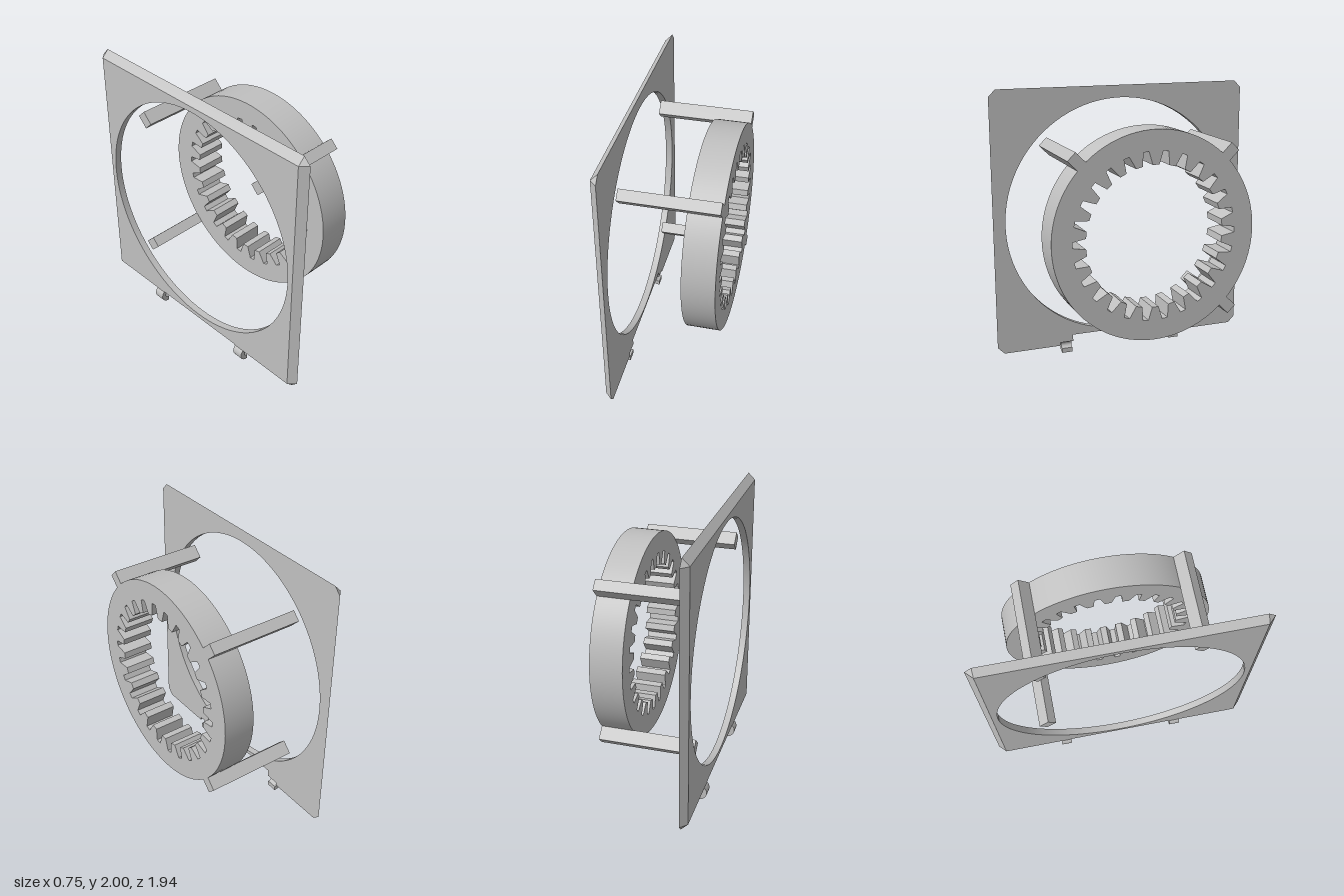
import * as THREE from 'three';
import { toCreasedNormals } from 'three/addons/utils/BufferGeometryUtils.js';

const CY = 1.03; // height of the ring axis
const FRONT = -0.31, BACK = -0.36; // plate faces along the axis

export function createModel() {
  const model = new THREE.Group();
  model.name = 'ringGearMount';
  const grey = new THREE.MeshStandardMaterial({ color: 0xc0c0c0 });
  grey.name = 'plainGrey';

  // Everything on the ring axis is drawn in a plane, then turned so local z becomes +x
  const axial = new THREE.Group();
  axial.name = 'axialParts';
  axial.rotation.y = Math.PI / 2;
  model.add(axial);

  const add = (parent, name, geometry) => {
    const mesh = new THREE.Mesh(geometry, grey);
    mesh.name = name;
    parent.add(mesh);
    return mesh;
  };

  // Wall between two matching closed loops, facing right of the direction of travel
  const wall = (front, back) => {
    const pos = [];
    front.forEach((f, i) => {
      const j = (i + 1) % front.length;
      const a = [back[i].x, back[i].y, BACK], b = [back[j].x, back[j].y, BACK];
      const c = [front[j].x, front[j].y, FRONT], d = [f.x, f.y, FRONT];
      pos.push(...a, ...b, ...c, ...a, ...c, ...d);
    });
    const g = new THREE.BufferGeometry();
    g.setAttribute('position', new THREE.Float32BufferAttribute(pos, 3));
    return toCreasedNormals(g, 0.3);
  };

  // Flat plate face with the round opening
  const circle = new THREE.Path().absarc(0, CY, 0.88, 0, Math.PI * 2, true);
  const face = (points, z, flip) => {
    const shape = new THREE.Shape(points);
    shape.holes.push(circle);
    const g = new THREE.ShapeGeometry(shape, 48);
    if (flip) {
      g.index.array.reverse();
      g.computeVertexNormals();
    }
    return g.translate(0, 0, z);
  };

  // Bevelled plate: clipped corners in front, a smaller square behind, stepped bottom notch
  const half = [
    [0.39, 0.135], [0.39, 0.085], [0.49, 0.085], [0.49, 0.06],
    [0.92, 0.06], [0.97, 0.11], [0.97, 1.95], [0.92, 2],
  ];
  const outline = [
    ...half.map(([x, y]) => new THREE.Vector2(x, y)),
    ...half.slice().reverse().map(([x, y]) => new THREE.Vector2(-x, y)),
  ];
  const backOutline = outline.map((p) => new THREE.Vector2(
    THREE.MathUtils.clamp(p.x, -0.92, 0.92),
    p.y === 0.135 ? 0.115 : THREE.MathUtils.clamp(p.y, 0.11, 1.95),
  ));
  const plate = new THREE.Group();
  plate.name = 'mountingPlate';
  axial.add(plate);
  add(plate, 'plateFront', face(outline, FRONT, false));
  add(plate, 'plateBack', face(backOutline, BACK, true));
  add(plate, 'plateBevel', wall(outline, backOutline));
  const rim = circle.getPoints(48).slice(0, -1);
  add(plate, 'plateOpening', wall(rim, rim));

  // Internal ring gear with 26 tapered gaps
  const gear = new THREE.Shape().absarc(0, 0, 0.74, 0, Math.PI * 2, false);
  const teeth = [];
  const gaps = 26;
  for (let i = 0; i < gaps; i++) {
    const a = (i / gaps) * Math.PI * 2;
    for (const [r, w] of [[0.5, -0.037], [0.595, -0.02], [0.595, 0.02], [0.5, 0.037]]) {
      teeth.push(new THREE.Vector2(
        r * Math.cos(a) - w * Math.sin(a),
        r * Math.sin(a) + w * Math.cos(a),
      ));
    }
  }
  gear.holes.push(new THREE.Path(teeth));
  const gearGeometry = new THREE.ExtrudeGeometry(gear, {
    depth: 0.23, bevelEnabled: false, curveSegments: 48,
  });
  add(axial, 'ringGear', toCreasedNormals(gearGeometry, 0.15)).position.set(0, CY, 0.14);

  // Three posts along the outside of the ring
  for (const degrees of [45, 135, -45]) {
    const a = THREE.MathUtils.degToRad(degrees);
    const post = add(axial, 'post', new THREE.BoxGeometry(0.1, 0.08, 0.68));
    post.position.set(0.786 * Math.cos(a), CY + 0.786 * Math.sin(a), 0.03);
    post.rotation.z = a;
  }

  // Two C-shaped hooks under the plate
  const hook = new THREE.Shape();
  hook.moveTo(-0.31, 0.12);
  hook.lineTo(-0.315, 0.12);
  hook.absarc(-0.315, 0.06, 0.06, Math.PI / 2, Math.PI * 1.5, false);
  hook.lineTo(-0.31, 0);
  hook.lineTo(-0.31, 0.035);
  hook.absarc(-0.315, 0.06, 0.025, Math.PI * 1.5, Math.PI / 2, true);
  hook.lineTo(-0.31, 0.085);
  const hookGeometry = toCreasedNormals(new THREE.ExtrudeGeometry(hook, {
    depth: 0.08, bevelEnabled: false, curveSegments: 10,
  }).translate(0, 0, -0.04), 0.5);
  for (const side of [-1, 1]) add(model, 'hook', hookGeometry).position.z = side * 0.437;

  return model;
}
